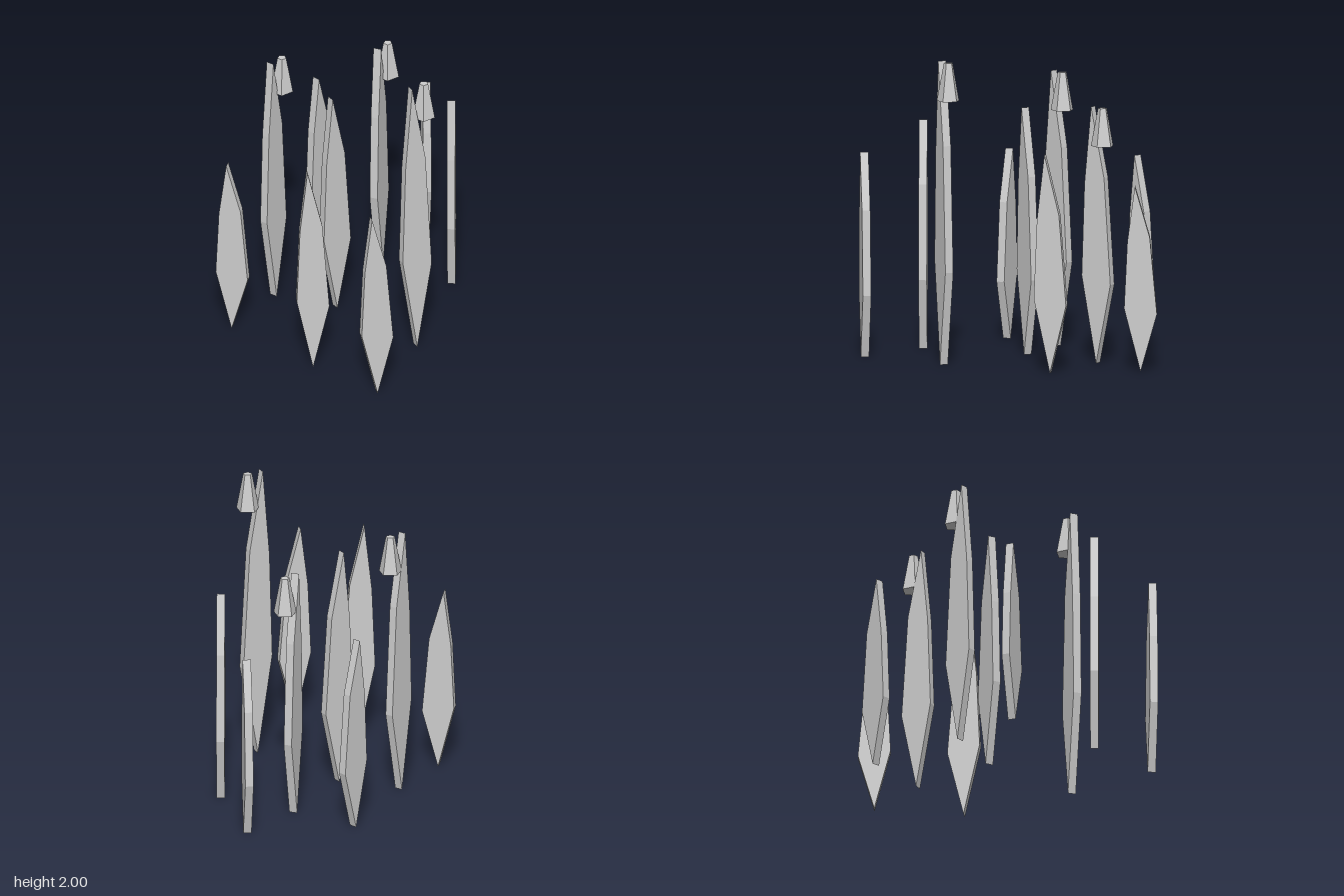
import * as THREE from 'three';

const THICKNESS = 0.054;
const BUD_HEIGHT = 0.25;

// Leaf outline: x is the offset from the root, y a fraction of the height
const OUTLINE = [
  [0, 0], [0.107, 0.31], [0.06, 0.725], [-0.037, 1], [-0.086, 0.7], [-0.107, 0.34],
];

// Root x, root z, turn about y, height, and the x offset of a bud if there is one
const LEAVES = [
  [-0.822, -0.365, -0.868, 1.25],
  [-0.668, 0.32, -0.494, 1.505],
  [-0.512, 0.82, -0.329, 1.345],
  [-0.386, -0.52, 0.32, 1.815, 0.067],
  [-0.136, -0.178, 0, 1.625],
  [0.02, 0.508, -0.12, 2, 0.067],
  [0.395, -0.428, 0.6, 1.69, 0.067],
  [0.642, 0.038, 0.918, 1.44],
  [0.832, -0.523, 1.07, 1.22],
  [0.207, -0.834, 0.228, 1.315],
];

function leafGeometry(height) {
  const shape = new THREE.Shape(OUTLINE.map(([x, y]) => new THREE.Vector2(x, y * height)));
  const geometry = new THREE.ExtrudeGeometry(shape, { depth: THICKNESS, bevelEnabled: false });
  return geometry.translate(0, 0, -THICKNESS / 2);
}

export function createModel() {
  const group = new THREE.Group();
  group.name = 'reedCluster';

  const grey = new THREE.MeshStandardMaterial({ color: 0xcccccc, flatShading: true });
  grey.name = 'plainGrey';

  // Five-sided tapered bud with a corner towards the back
  const budGeometry = new THREE.CylinderGeometry(0.03, 0.077, BUD_HEIGHT, 5);
  budGeometry.rotateY(Math.PI);

  LEAVES.forEach(([x, z, turn, height, budOffset]) => {
    const leaf = new THREE.Mesh(leafGeometry(height), grey);
    leaf.name = 'leaf';
    leaf.position.set(x, 0, z);
    leaf.rotation.y = turn;
    group.add(leaf);

    if (budOffset !== undefined) {
      const bud = new THREE.Mesh(budGeometry, grey);
      bud.name = 'bud';
      bud.position.set(x + budOffset, height - BUD_HEIGHT / 2, z);
      group.add(bud);
    }
  });

  return group;
}
